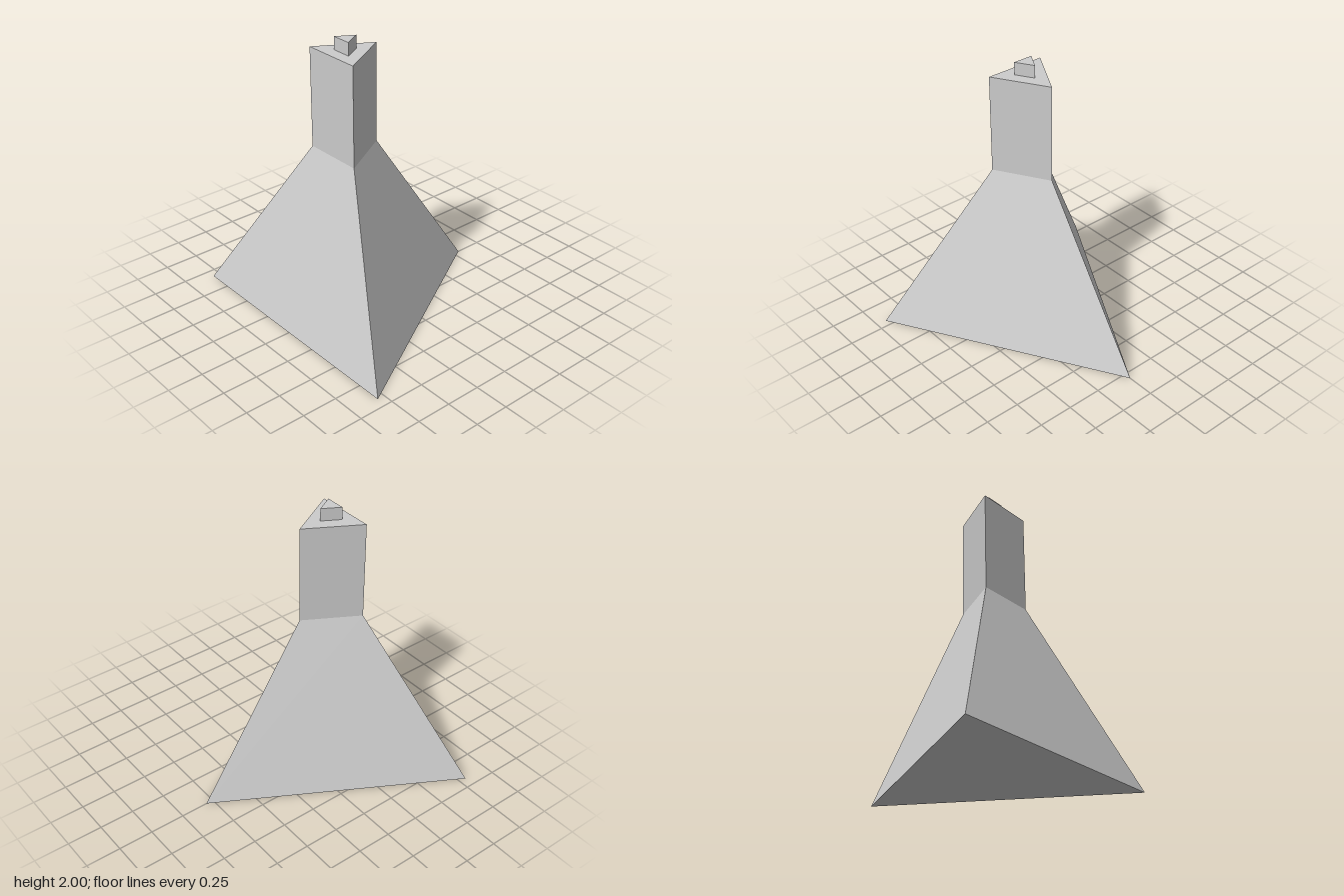
import * as THREE from 'three';

const AXIS_X = -0.268; // shared vertical axis of the triangular sections

export function createModel() {
  const group = new THREE.Group();
  const material = new THREE.MeshStandardMaterial({ color: 0xcccccc, flatShading: true });

  // Three-sided prism or frustum with one corner pointing to +x
  function prism(name, bottomRadius, topRadius, y0, y1) {
    const geometry = new THREE.CylinderGeometry(topRadius, bottomRadius, y1 - y0, 3, 1, false, Math.PI / 2);
    const mesh = new THREE.Mesh(geometry, material);
    mesh.name = name;
    mesh.position.set(AXIS_X, (y0 + y1) / 2, 0);
    group.add(mesh);
  }

  prism('flaredBase', 1.071, 0.25, 0, 1.205);
  prism('neck', 0.25, 0.25, 1.205, 1.91);
  prism('topStub', 0.083, 0.083, 1.91, 2);

  return group;
}
